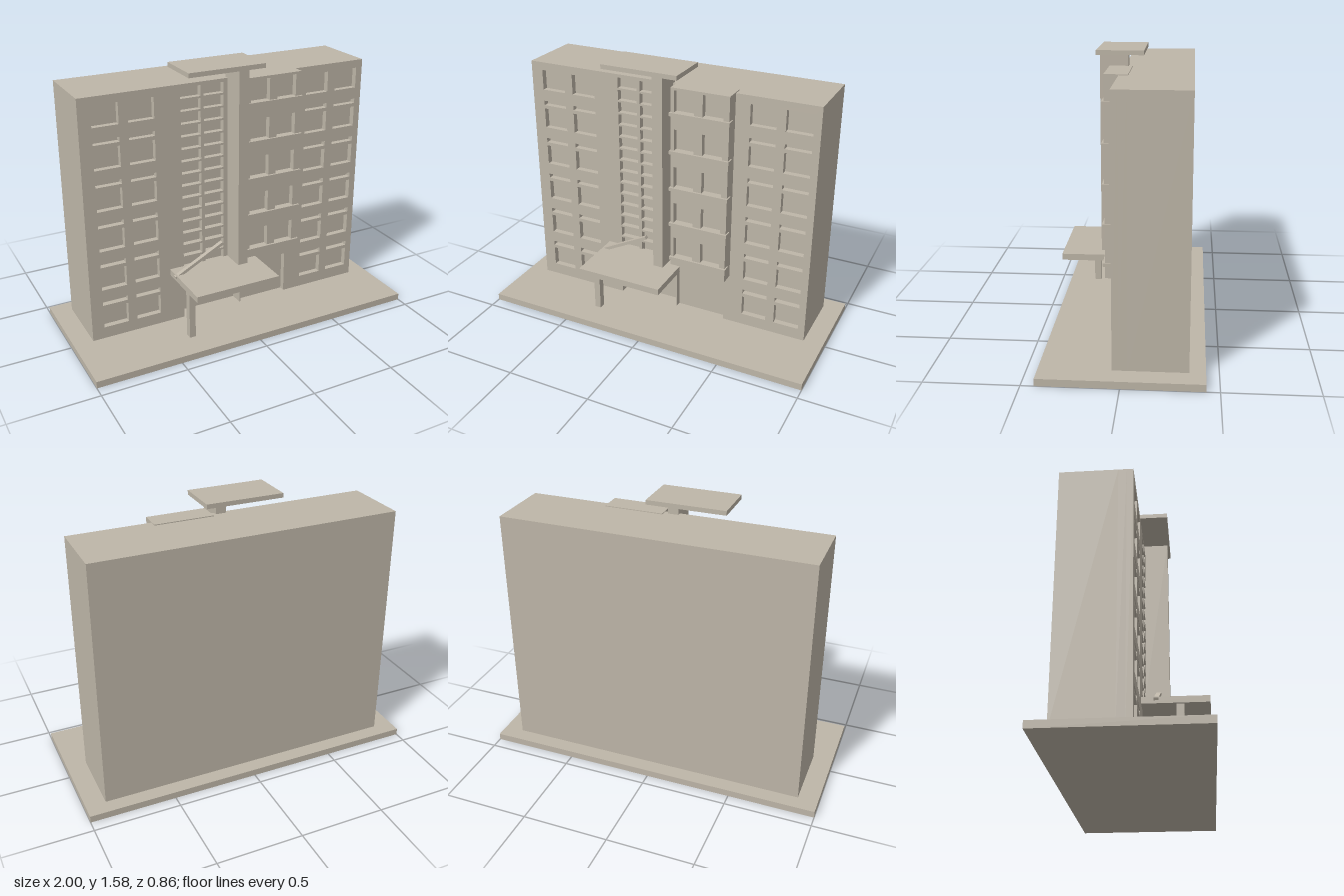
import * as THREE from 'three';

export function createModel() {
  const model = new THREE.Group();
  model.name = 'apartmentBlock';
  const concrete = new THREE.MeshStandardMaterial({ color: 0xbeb6a8 });
  concrete.name = 'warm concrete';

  const add = (name, geometry) => {
    const mesh = new THREE.Mesh(geometry, concrete);
    mesh.name = name;
    model.add(mesh);
    return mesh;
  };

  // Box given by its limits on each axis
  const box = (name, x0, x1, y0, y1, z0, z1) => {
    const g = new THREE.BoxGeometry(x1 - x0, y1 - y0, z1 - z0);
    g.translate((x0 + x1) / 2, (y0 + y1) / 2, (z0 + z1) / 2);
    return add(name, g);
  };

  // Wall slab with rectangular openings [x0, x1, y0, y1]
  const trace = (path, [x0, x1, y0, y1]) => {
    path.moveTo(x0, y0);
    path.lineTo(x1, y0);
    path.lineTo(x1, y1);
    path.lineTo(x0, y1);
    path.closePath();
    return path;
  };
  const wall = (name, outline, openings, z0, z1) => {
    const shape = trace(new THREE.Shape(), outline);
    openings.forEach((o) => shape.holes.push(trace(new THREE.Path(), o)));
    const g = new THREE.ExtrudeGeometry(shape, { depth: z1 - z0, bevelEnabled: false });
    g.translate(0, 0, z0);
    return add(name, g);
  };

  // Ground slab
  box('groundSlab', -1, 1, 0, 0.04, -0.43, 0.43);

  // Openings of the main facade: windows with ventilation slots above
  const openings = [];
  for (const x of [-0.813, -0.611, 0.495, 0.695]) {
    for (let i = 0; i < 6; i++) {
      const y = 0.11 + i * 0.24;
      openings.push([x, x + 0.15, y, y + 0.121]);
      if (i < 5) openings.push([x, x + 0.15, y + 0.142, y + 0.17]);
    }
  }
  // Stairwell glazing
  for (const x of [-0.307, -0.167]) {
    for (let i = 0; i < 15; i++) {
      const y = 1.397 - i * 0.0733;
      openings.push([x, x + 0.121, y, y + 0.062]);
    }
  }
  // Entrance recesses either side of a thin partition
  const entrance = [-0.31, 0.063, 0.035, 0.355];
  openings.push(entrance, [0.07, 0.38, 0.035, 0.355]);

  // Main block in layers, so that the recesses have different depths
  const outline = [-0.885, 0.885, 0.03, 1.478];
  box('mainBlock', -0.885, 0.885, 0.03, 1.478, -0.345, -0.03);
  wall('innerWall', outline, [entrance], -0.03, 0.015);
  wall('facade', outline, openings, 0.015, 0.05);

  // Projecting bay with windows and balcony ledges
  const bayWindows = [];
  for (let i = 0; i < 5; i++) {
    const y = 0.42 + i * 0.2255;
    box('bayLedge', 0.06, 0.417, y, y + 0.02, 0.095, 0.143);
    for (const x of [0.085, 0.255]) bayWindows.push([x, x + 0.12, y + 0.02, y + 0.147]);
  }
  box('bayBody', 0.065, 0.41, 0.35, 1.483, 0, 0.095);
  wall('bayFront', [0.065, 0.41, 0.35, 1.483], bayWindows, 0.095, 0.13);

  // Tall pier carrying the roof slab
  box('pier', -0.02, 0.042, 0.37, 1.555, 0.025, 0.187);
  box('roofSlab', -0.325, 0.135, 1.55, 1.576, -0.067, 0.2);

  // Entrance canopy with its post and sloping strut
  box('canopy', -0.395, 0.125, 0.345, 0.382, 0.04, 0.412);
  box('canopyPost', -0.38, -0.343, 0.035, 0.35, 0.234, 0.275);
  const strut = trace(new THREE.Shape(), [0, 0.34, -0.009, 0.009]);
  const strutGeometry = new THREE.ExtrudeGeometry(strut, { depth: 0.026, bevelEnabled: false });
  strutGeometry.rotateZ(Math.atan2(0.155, 0.3));
  strutGeometry.translate(-0.397, 0.366, 0.115);
  add('canopyStrut', strutGeometry);

  return model;
}
